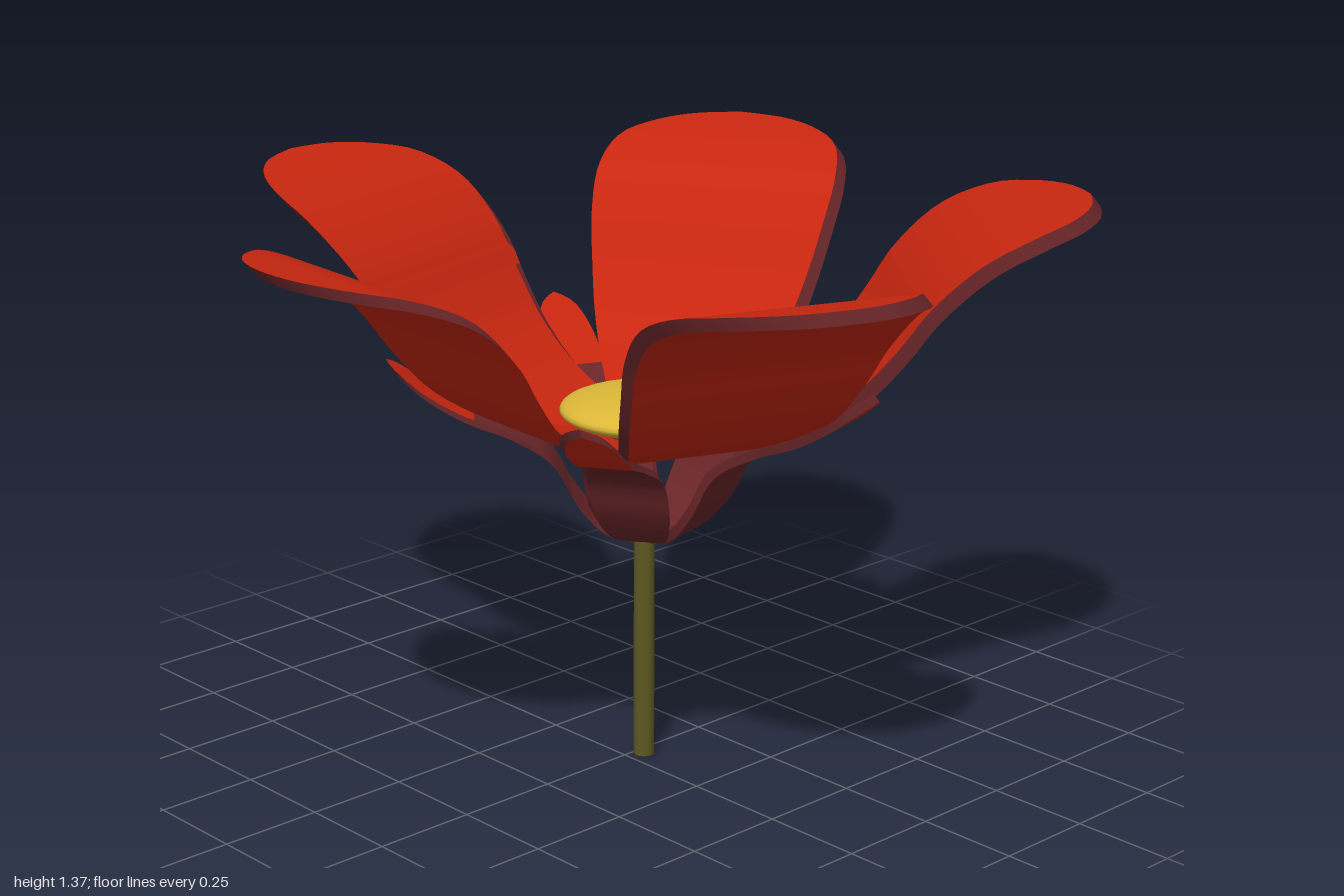
import * as THREE from 'three';

const mat = (name, color) => {
  const m = new THREE.MeshStandardMaterial({ color, side: THREE.DoubleSide });
  m.name = name;
  return m;
};

// Smooth surface through a grid of points
function gridGeometry(rows) {
  const n = rows[0].length, index = [];
  for (let i = 0; i < rows.length - 1; i++) {
    for (let j = 0; j < n - 1; j++) {
      const a = i * n + j, b = a + n;
      index.push(a, a + 1, b, b, a + 1, b + 1);
    }
  }
  const g = new THREE.BufferGeometry().setFromPoints(rows.flat());
  g.setIndex(index);
  g.computeVertexNormals();
  return g;
}

// Stations are [radius, height, half width], from root to tip
function bladeRows(stations, steps, cols) {
  const curve = new THREE.CatmullRomCurve3(stations.map(s => new THREE.Vector3(...s)));
  return curve.getSpacedPoints(steps).map(p => {
    const row = [];
    for (let j = 0; j <= cols; j++) {
      row.push(new THREE.Vector3(p.x, p.y, Math.max(p.z, 0) * (2 * j / cols - 1)));
    }
    return row;
  });
}

// A thin leaf: upper and lower skins joined by a rim; tip starts at row "split"
function makeBlade(name, stations, angle, offset, split, bodyMat, tipMat, rimMat) {
  const group = new THREE.Group();
  group.name = name;
  const axis = new THREE.Vector3(0, 1, 0);
  const upper = bladeRows(stations, 36, 8);
  upper.flat().forEach(p => p.applyAxisAngle(axis, -angle));
  const lower = upper.map(r => r.map(p => p.clone().add(offset)));
  const add = (part, rows, material) => {
    if (rows.length < 2) return;
    const m = new THREE.Mesh(gridGeometry(rows), material);
    m.name = name + part;
    group.add(m);
  };
  for (const [part, rows] of [['Upper', upper], ['Lower', lower]]) {
    add(part + 'Base', rows.slice(0, split + 1), bodyMat);
    add(part + 'Tip', rows.slice(split), tipMat);
  }
  const outline = rows => [
    ...rows.map(r => r[0]),
    ...rows.map(r => r[r.length - 1]).reverse(),
    rows[0][0],
  ];
  add('Rim', [outline(upper), outline(lower)], rimMat);
  return group;
}

export function createModel() {
  const red = mat('petalRed', 0xc8260f);
  const maroon = mat('sepalMaroon', 0x6b2629);
  const olive = mat('stemOlive', 0x5c5821);
  const yellow = mat('heartYellow', 0xdcb838);

  const model = new THREE.Group();
  model.name = 'flower';
  const flower = new THREE.Group();
  flower.name = 'bloom';
  flower.position.set(0.015, 0, -0.05);
  model.add(flower);

  // Stem
  const stem = new THREE.Mesh(new THREE.CylinderGeometry(0.025, 0.025, 0.58, 20), olive);
  stem.name = 'stem';
  stem.position.set(0.005, 0.29, 0.005);
  flower.add(stem);

  // Flat yellow heart
  const heart = new THREE.Mesh(new THREE.SphereGeometry(0.2, 32, 16), yellow);
  heart.name = 'heart';
  heart.scale.y = 0.22;
  heart.position.y = 0.872;
  flower.add(heart);

  const petal = [
    [0.12, 0.83, 0.1], [0.2, 0.845, 0.14], [0.32, 0.885, 0.19], [0.46, 0.975, 0.245],
    [0.55, 1.08, 0.275], [0.62, 1.18, 0.295], [0.73, 1.28, 0.305], [0.85, 1.335, 0.28],
    [0.94, 1.355, 0.215], [1.0, 1.365, 0.13], [1.022, 1.368, 0.06], [1.03, 1.37, 0],
  ];
  const sepal = [
    [0.01, 0.565, 0.02], [0.1, 0.6, 0.065], [0.17, 0.68, 0.09], [0.23, 0.785, 0.09],
    [0.32, 0.84, 0.068], [0.43, 0.885, 0.065], [0.52, 0.94, 0.063], [0.57, 0.98, 0.045],
    [0.592, 0.997, 0.02], [0.6, 1.005, 0],
  ];
  const petalOffset = new THREE.Vector3(0.016, -0.028, -0.016);
  const sepalOffset = new THREE.Vector3(0.008, -0.02, -0.008);

  // Five petals with five sepals between them
  for (let i = 0; i < 5; i++) {
    const turn = i * 72;
    flower.add(makeBlade('petal', petal, THREE.MathUtils.degToRad(21.5 + turn),
      petalOffset, 18, red, red, maroon));
    flower.add(makeBlade('sepal', sepal, THREE.MathUtils.degToRad(57 + turn),
      sepalOffset, 24, maroon, red, maroon));
  }
  return model;
}
